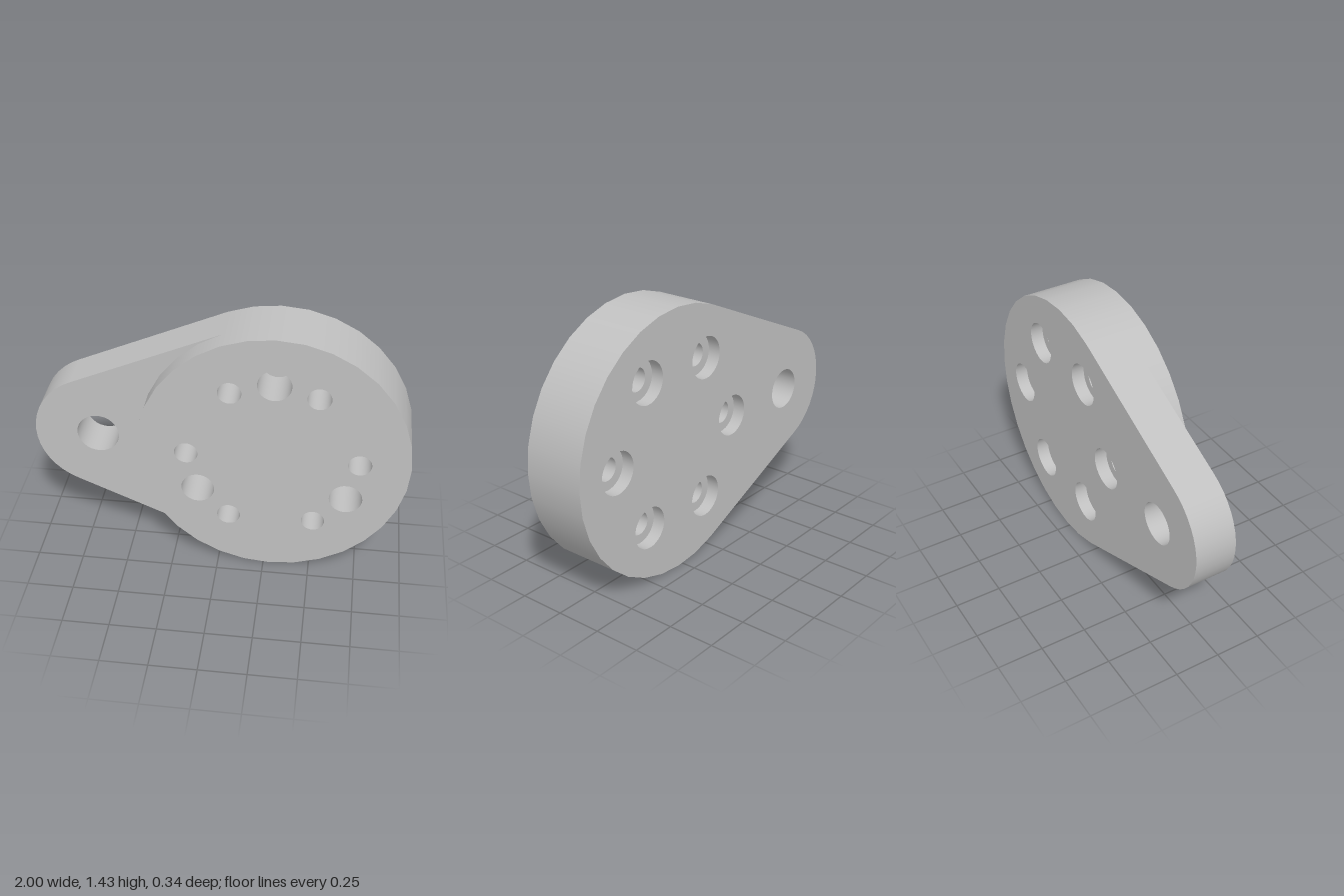
import * as THREE from 'three';
import { mergeGeometries } from 'three/addons/utils/BufferGeometryUtils.js';

const DISC = { x: 0.283, y: 0.717, r: 0.717 };
const ARM = { x: -0.66, y: 0.717, r: 0.34, bore: 0.113 };
const BACK = -0.17, STEP = 0.055, FRONT = 0.17;
const SINK_FLOOR = -0.1, BLIND_FLOOR = -0.05;
const BOLT_CIRCLE = 0.453, BOLT_R = 0.062, SINK_R = 0.113, BLIND_R = 0.088;
const TANGENT = Math.PI * 0.625; // where the arm leaves the disc

// Points on an arc, each with its outward normal
function arc(cx, cy, r, a0, a1, n) {
  return Array.from({ length: n + 1 }, (_, i) => {
    const a = a0 + (a1 - a0) * i / n, nx = Math.cos(a), ny = Math.sin(a);
    return { x: cx + r * nx, y: cy + r * ny, nx, ny };
  });
}
const circle = (c, r, n = 32) => arc(c.x, c.y, r, 0, Math.PI * 2, n);

// Smooth wall along a path; inward walls line a hole
function wall(path, z0, z1, inward = false) {
  const pos = [], nor = [], uv = [], idx = [], s = inward ? -1 : 1;
  path.forEach((p, i) => {
    pos.push(p.x, p.y, z0, p.x, p.y, z1);
    nor.push(s * p.nx, s * p.ny, 0, s * p.nx, s * p.ny, 0);
    uv.push(i, 0, i, 1);
    if (i === path.length - 1) return;
    const a = 2 * i, b = a + 1, c = a + 2, d = a + 3;
    if (inward) idx.push(a, d, c, a, b, d);
    else idx.push(a, c, d, a, d, b);
  });
  const g = new THREE.BufferGeometry();
  g.setAttribute('position', new THREE.Float32BufferAttribute(pos, 3));
  g.setAttribute('normal', new THREE.Float32BufferAttribute(nor, 3));
  g.setAttribute('uv', new THREE.Float32BufferAttribute(uv, 2));
  g.setIndex(idx);
  return g;
}

// Flat face at height z with holes, facing +z or -z
function face(path, holes, z, facing = 1) {
  const open = p => p.slice(0, -1).map(q => new THREE.Vector2(q.x, q.y));
  const shape = new THREE.Shape(open(path));
  shape.holes = holes.map(h => new THREE.Path(open(h)));
  const g = new THREE.ShapeGeometry(shape).translate(0, 0, z);
  if (facing < 0) {
    const index = g.index.array;
    for (let i = 0; i < index.length; i += 3) {
      [index[i], index[i + 1]] = [index[i + 1], index[i]];
    }
    const n = g.attributes.normal;
    for (let i = 0; i < n.count; i++) n.setZ(i, -1);
  }
  return g;
}

// Evenly spaced centres on the bolt circle
const ring = (count, start) => Array.from({ length: count }, (_, i) => {
  const a = start + i * Math.PI * 2 / count;
  return { x: DISC.x + BOLT_CIRCLE * Math.cos(a), y: DISC.y + BOLT_CIRCLE * Math.sin(a) };
});

export function createModel() {
  const group = new THREE.Group();
  const grey = new THREE.MeshStandardMaterial({ color: 0xc0c0c0 });
  grey.name = 'plainGrey';
  const add = (name, geometries) => {
    const mesh = new THREE.Mesh(mergeGeometries(geometries), grey);
    mesh.name = name;
    group.add(mesh);
  };

  const bolts = ring(6, 0), blinds = ring(3, Math.PI / 2);
  const boltHoles = bolts.map(c => circle(c, BOLT_R));
  const sinks = bolts.map(c => circle(c, SINK_R));
  const blindHoles = blinds.map(c => circle(c, BLIND_R));
  const bore = circle(ARM, ARM.bore);
  const rim = circle(DISC, DISC.r);

  // Teardrop outline of the back plate
  const discSide = arc(DISC.x, DISC.y, DISC.r, -TANGENT, TANGENT, 20);
  const armEnd = arc(ARM.x, ARM.y, ARM.r, TANGENT, Math.PI * 2 - TANGENT, 16);
  const outline = [...discSide, ...armEnd, discSide[0]];

  // Exposed front of the arm, bounded by the disc's left edge
  const discLeft = arc(DISC.x, DISC.y, DISC.r, Math.PI * 2 - TANGENT, TANGENT, 12);
  const armFront = [...armEnd, ...discLeft, armEnd[0]];

  add('armPlate', [
    wall(outline, BACK, STEP),
    face(outline, [...sinks, bore], BACK, -1),
    face(armFront, [bore], STEP),
  ]);
  add('frontDisc', [
    wall(rim, STEP, FRONT),
    face(rim, [...boltHoles, ...blindHoles], FRONT),
  ]);
  add('pivotBore', [wall(bore, BACK, STEP, true)]);

  // Through holes, counterbored from the back
  bolts.forEach((_, i) => add(`boltHole${i + 1}`, [
    wall(boltHoles[i], SINK_FLOOR, FRONT, true),
    wall(sinks[i], BACK, SINK_FLOOR, true),
    face(sinks[i], [boltHoles[i]], SINK_FLOOR, -1),
  ]));

  // Blind holes from the front
  blindHoles.forEach((hole, i) => add(`blindHole${i + 1}`, [
    wall(hole, BLIND_FLOOR, FRONT, true),
    face(hole, [], BLIND_FLOOR),
  ]));
  return group;
}
